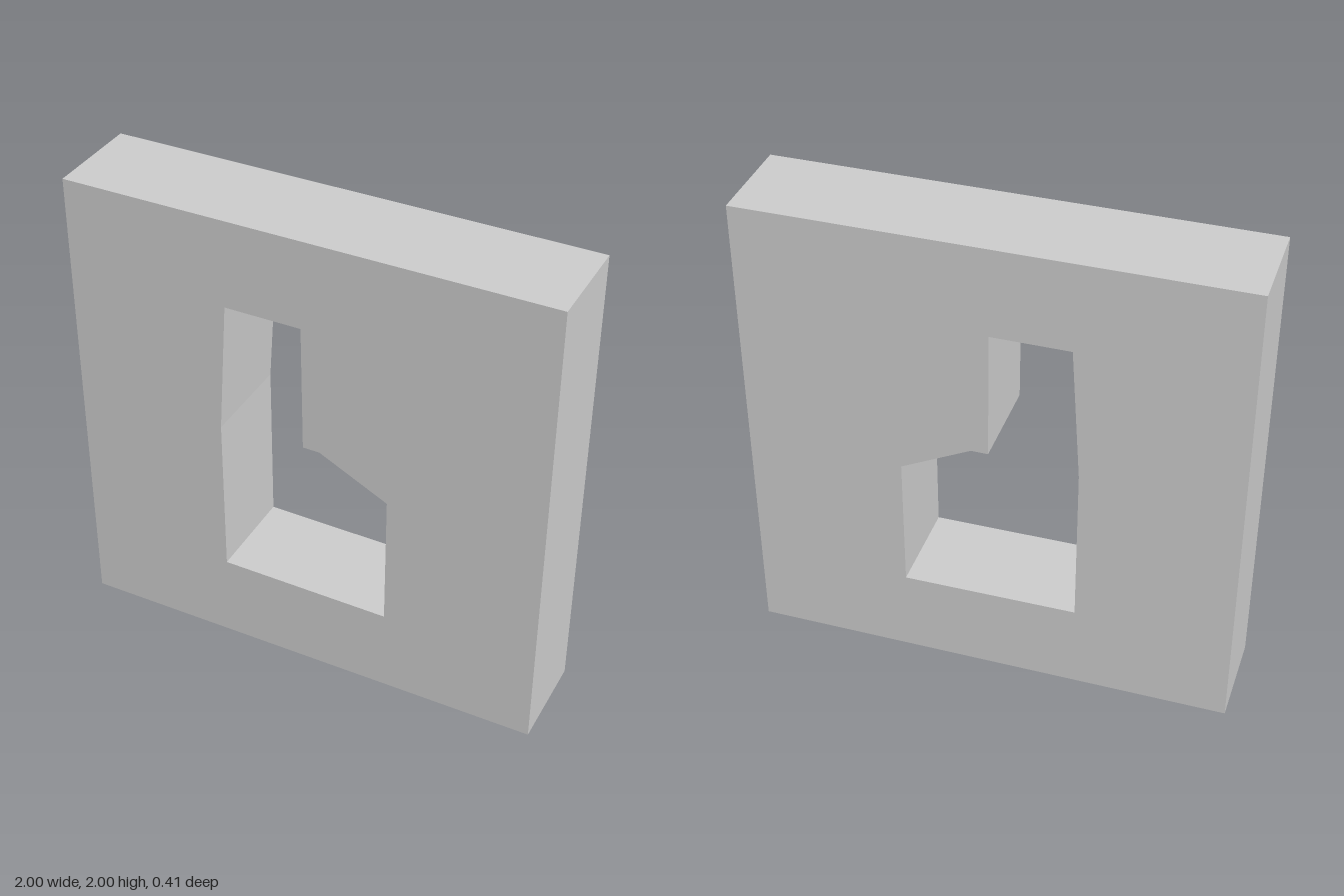
import * as THREE from 'three';

export function createModel() {
  const group = new THREE.Group();
  const depth = 0.405;

  // Square slab outline
  const outline = new THREE.Shape([
    [-1, 0], [1, 0], [1, 2], [-1, 2],
  ].map(([x, y]) => new THREE.Vector2(x, y)));

  // Stepped opening through the slab
  outline.holes.push(new THREE.Path([
    [-0.36, 0.373], [-0.36, 1.065], [-0.323, 1.63], [-0.005, 1.63],
    [0, 1.09], [0.07, 1.09], [0.358, 0.945], [0.358, 0.367],
  ].map(([x, y]) => new THREE.Vector2(x, y))));

  const geometry = new THREE.ExtrudeGeometry(outline, { depth, bevelEnabled: false });
  geometry.translate(0, 0, -depth / 2);

  const panel = new THREE.Mesh(
    geometry,
    new THREE.MeshStandardMaterial({ color: 0xcccccc, flatShading: true }),
  );
  panel.name = 'panelWithOpening';
  group.add(panel);
  return group;
}
